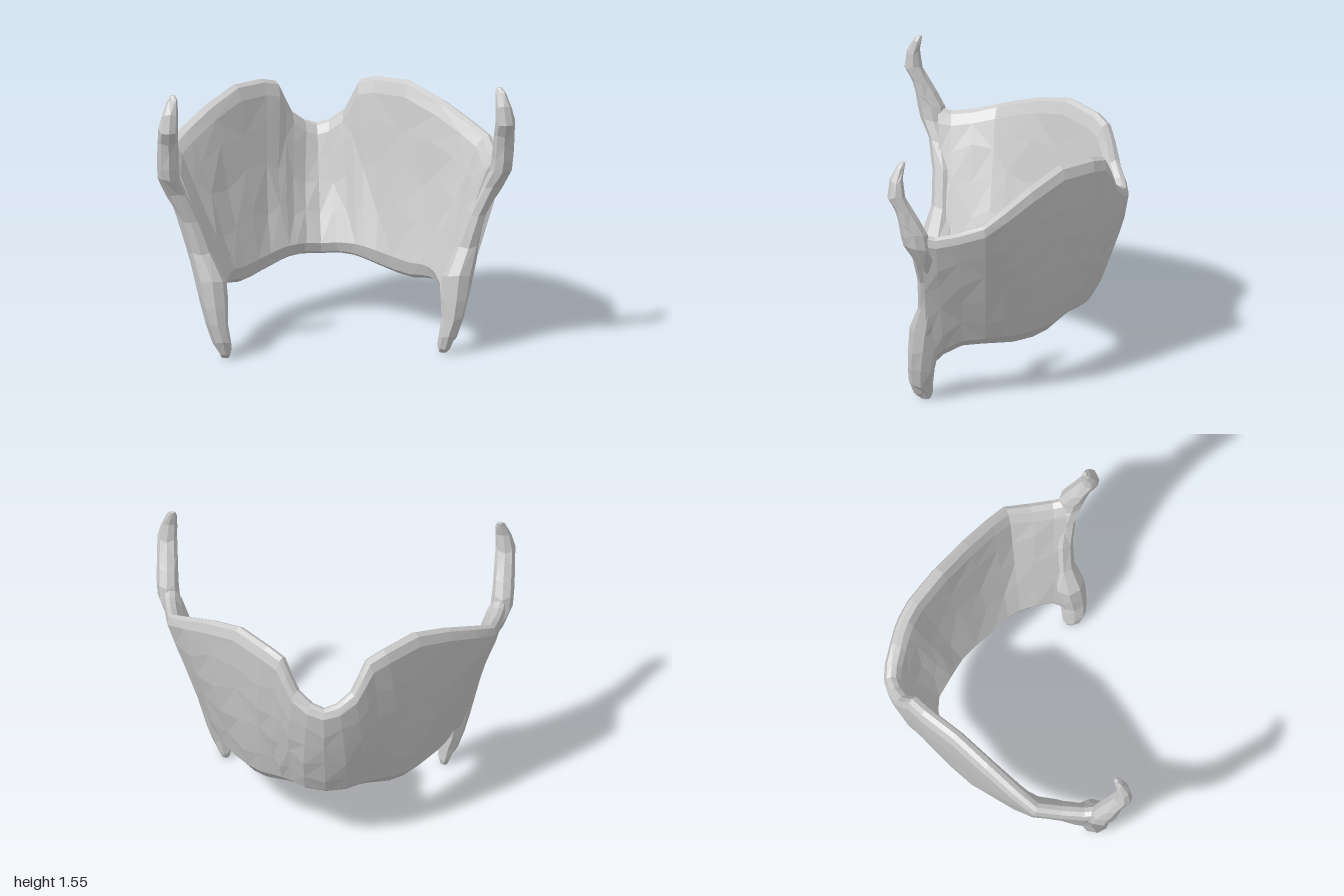
import * as THREE from 'three';

const material = new THREE.MeshStandardMaterial({ color: 0xcccccc, flatShading: true });

// Skin a closed surface over a row of equal-length rings of Vector3
function loft(name, rings) {
  const n = rings[0].length, pos = [], idx = [];
  rings.forEach(r => r.forEach(p => pos.push(p.x, p.y, p.z)));
  for (let i = 0; i < rings.length - 1; i++) {
    for (let j = 0; j < n; j++) {
      const a = i * n + j, b = a + n, d = i * n + (j + 1) % n, c = d + n;
      if ((i + j) % 3) idx.push(a, b, c, a, c, d);
      else idx.push(a, b, d, b, c, d);
    }
  }
  // Fan caps at both ends
  [0, rings.length - 1].forEach((r, end) => {
    const m = new THREE.Vector3();
    rings[r].forEach(p => m.addScaledVector(p, 1 / n));
    const centre = pos.length / 3;
    pos.push(m.x, m.y, m.z);
    for (let j = 0; j < n; j++) {
      const a = r * n + j, b = r * n + (j + 1) % n;
      idx.push(centre, end ? b : a, end ? a : b);
    }
  });
  const g = new THREE.BufferGeometry();
  g.setAttribute('position', new THREE.Float32BufferAttribute(pos, 3));
  g.setIndex(idx);
  g.computeVertexNormals();
  const mesh = new THREE.Mesh(g, material);
  mesh.name = name;
  return mesh;
}

// Outer face of the plate, midline to rear border: bottom xyz, top xyz, bulge
const stations = [
  [0, 0.355, -0.435, 0, 1.05, -0.665, 0.03],
  [0.12, 0.36, -0.415, 0.09, 1.075, -0.65, 0.03],
  [0.20, 0.36, -0.36, 0.18, 1.14, -0.615, 0.03],
  [0.25, 0.35, -0.325, 0.23, 1.24, -0.59, 0.03],
  [0.30, 0.335, -0.29, 0.27, 1.325, -0.56, 0.03],
  [0.37, 0.315, -0.24, 0.36, 1.355, -0.495, 0.03],
  [0.445, 0.30, -0.16, 0.53, 1.37, -0.33, 0.03],
  [0.52, 0.30, -0.06, 0.70, 1.30, -0.165, 0.025],
  [0.59, 0.32, 0.03, 0.84, 1.22, -0.02, 0.015],
  [0.635, 0.33, 0.12, 0.94, 1.16, 0.10, 0.005],
  [0.67, 0.33, 0.24, 0.96, 1.12, 0.25, 0],
  [0.695, 0.285, 0.345, 0.975, 1.10, 0.38, 0],
  [0.69, 0.20, 0.43, 0.98, 1.12, 0.46, 0],
];

// Cross-section of the plate: [height fraction, depth fraction], outer face down, inner face up
const section = [
  [1, 0.45], [0.985, 0.22], [0.93, 0.04], [0.76, 0], [0.58, 0], [0.4, 0], [0.2, 0], [0.06, 0.03],
  [0, 0.33], [0.025, 0.68], [0.1, 1.02], [0.32, 1], [0.55, 0.96], [0.76, 0.92], [0.92, 0.84], [0.985, 0.68],
];

function plate() {
  const last = stations.length - 1, thickness = 0.12;
  const at = i => {
    const s = stations[Math.abs(i)], k = i < 0 ? -1 : 1;
    return {
      bottom: new THREE.Vector3(k * s[0], s[1], s[2]),
      top: new THREE.Vector3(k * s[3], s[4], s[5]),
      bulge: s[6],
    };
  };
  const rings = [];
  for (let i = -last; i <= last; i++) {
    const s = at(i), p = at(Math.max(-last, i - 1)), q = at(Math.min(last, i + 1));
    const along = q.bottom.clone().add(q.top).sub(p.bottom).sub(p.top);
    const inward = new THREE.Vector3(-along.z, 0, along.x).normalize();
    rings.push(section.map(([v, d], j) => {
      // Uneven facets on the broad faces, symmetric across the midline
      const face = v > 0.15 && v < 0.85;
      const wobble = face ? Math.sin(Math.abs(i) * 2.3 + j * 1.7) : 0;
      return s.bottom.clone().lerp(s.top, v + wobble * 0.03)
        .addScaledVector(inward, d * thickness - s.bulge * Math.sin(Math.PI * v) + wobble * 0.004);
    }));
  }
  return loft('curvedPlate', rings);
}

// Rear border running from lower horn tip to upper horn tip: y, x, x radius, z, z radius
const border = [
  [0.00, 0.61, 0.022, 0.452, 0.025],
  [0.04, 0.615, 0.040, 0.465, 0.052],
  [0.10, 0.632, 0.052, 0.477, 0.068],
  [0.20, 0.660, 0.062, 0.475, 0.075],
  [0.32, 0.675, 0.080, 0.462, 0.086],
  [0.45, 0.692, 0.088, 0.450, 0.088],
  [0.60, 0.748, 0.068, 0.425, 0.064],
  [0.80, 0.806, 0.056, 0.425, 0.062],
  [0.95, 0.882, 0.060, 0.445, 0.068],
  [1.05, 0.930, 0.062, 0.485, 0.075],
  [1.13, 0.938, 0.061, 0.500, 0.076],
  [1.20, 0.940, 0.060, 0.530, 0.060],
  [1.27, 0.942, 0.058, 0.555, 0.053],
  [1.36, 0.945, 0.055, 0.600, 0.050],
  [1.45, 0.935, 0.046, 0.600, 0.036],
  [1.52, 0.920, 0.030, 0.577, 0.022],
  [1.55, 0.915, 0.014, 0.562, 0.012],
];

function hornedBorder(name, side) {
  const sides = 8;
  return loft(name, border.map(([y, x, rx, z, rz], i) =>
    Array.from({ length: sides }, (_, j) => {
      const a = (j / sides) * Math.PI * 2, tip = i === 0 || i === border.length - 1;
      const lift = tip ? 0 : 0.012 * Math.sin(i * 2.1 + Math.sin(a) * 3);
      return new THREE.Vector3(side * x + Math.cos(a) * rx, y + lift, z + Math.sin(a) * rz);
    })));
}

export function createModel() {
  const group = new THREE.Group();
  group.name = 'cartilageShield';
  group.add(plate(), hornedBorder('leftHornedBorder', 1), hornedBorder('rightHornedBorder', -1));
  return group;
}
